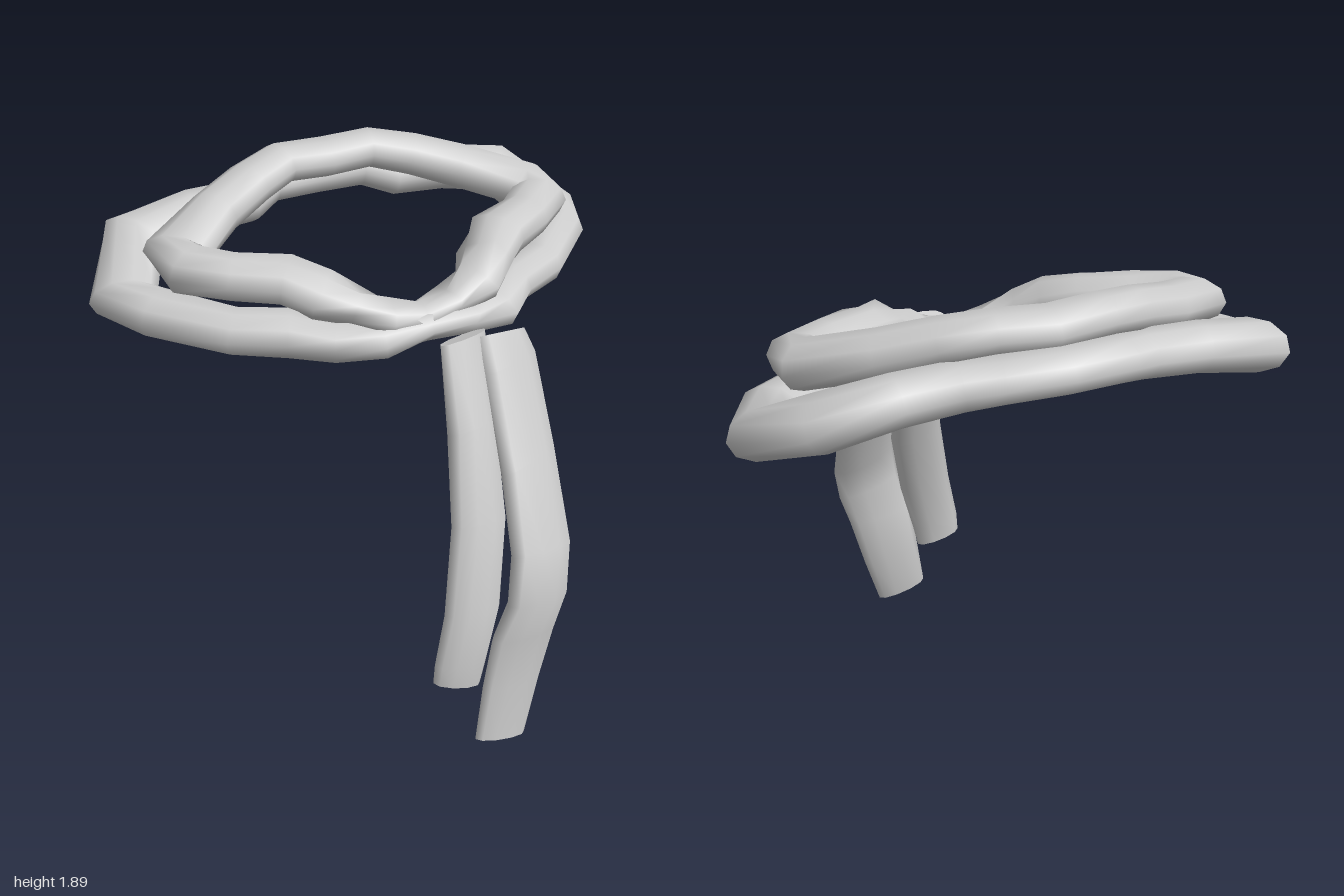
import * as THREE from 'three';

const SIDES = 10;
const V = (p) => new THREE.Vector3(p[0], p[1], p[2]);

// Skin a list of equal rings of points; closed joins the ends, otherwise they are capped
function skin(rings, closed) {
  const pos = [], idx = [], n = rings.length;
  rings.forEach((r) => r.forEach((p) => pos.push(p.x, p.y, p.z)));
  const at = (i, j) => (i % n) * SIDES + (j % SIDES);
  for (let i = 0; i < (closed ? n : n - 1); i++) {
    for (let j = 0; j < SIDES; j++) {
      idx.push(at(i, j), at(i, j + 1), at(i + 1, j), at(i, j + 1), at(i + 1, j + 1), at(i + 1, j));
    }
  }
  if (!closed) {
    [rings[0], rings[n - 1]].forEach((r, end) => {
      const b = pos.length / 3;
      r.forEach((p) => pos.push(p.x, p.y, p.z));
      for (let j = 1; j < SIDES - 1; j++) {
        if (end) idx.push(b, b + j, b + j + 1);
        else idx.push(b, b + j + 1, b + j);
      }
    });
  }
  const g = new THREE.BufferGeometry();
  g.setAttribute('position', new THREE.Float32BufferAttribute(pos, 3));
  g.setIndex(idx);
  g.computeVertexNormals();
  return g;
}

// Closed neck loop from its left half, back to front: x, y, z, half width, half height, crumple
function loopGeometry(half) {
  const mirrored = half.slice(1, -1).reverse().map((s) => [-s[0], ...s.slice(1)]);
  const st = [...half, ...mirrored], n = st.length;
  const rings = st.map((s, i) => {
    const d = V(st[(i + 1) % n]).sub(V(st[(i + n - 1) % n])).normalize();
    const u = new THREE.Vector3(0, 1, 0).cross(d).normalize();
    const v = d.clone().cross(u);
    return Array.from({ length: SIDES }, (_, j) => {
      const a = (j / SIDES) * Math.PI * 2;
      const k = 1 + s[5] * Math.sin(i * 2.3 + j * 4.1);
      return V(s).addScaledVector(u, Math.cos(a) * s[3] * k).addScaledVector(v, Math.sin(a) * s[4] * k);
    });
  });
  return skin(rings, true);
}

// Hanging tail from pairs of edge points and a half thickness
function tailGeometry(st) {
  const mid = st.map((s) => V(s[0]).add(V(s[1])).multiplyScalar(0.5));
  const rings = st.map((s, i) => {
    const d = mid[Math.min(i + 1, st.length - 1)].clone().sub(mid[Math.max(i - 1, 0)]);
    const u = V(s[1]).sub(V(s[0])).multiplyScalar(0.5);
    const v = d.cross(u).normalize();
    return Array.from({ length: SIDES }, (_, j) => {
      const a = (j / SIDES) * Math.PI * 2;
      return mid[i].clone().addScaledVector(u, Math.cos(a)).addScaledVector(v, Math.sin(a) * s[2]);
    });
  });
  return skin(rings, false);
}

export function createModel() {
  const group = new THREE.Group();
  const cloth = new THREE.MeshStandardMaterial({ color: 0xcccccc });
  cloth.name = 'grey cloth';
  const add = (name, geometry) => {
    const m = new THREE.Mesh(geometry, cloth);
    m.name = name;
    group.add(m);
  };

  // Upper wrap round the neck
  add('upperLoop', loopGeometry([
    [0, 1.81, -0.595, 0.105, 0.07, 0],
    [0.18, 1.82, -0.585, 0.1, 0.07, 0],
    [0.33, 1.79, -0.52, 0.1, 0.075, 0],
    [0.5, 1.74, -0.435, 0.1, 0.08, 0],
    [0.7, 1.68, -0.29, 0.12, 0.08, 0],
    [0.69, 1.66, -0.19, 0.11, 0.085, 0],
    [0.57, 1.65, -0.09, 0.1, 0.08, 0],
    [0.41, 1.64, -0.01, 0.11, 0.08, 0.08],
    [0.32, 1.6, 0.08, 0.1, 0.08, 0.2],
    [0.23, 1.56, 0.14, 0.085, 0.065, 0.25],
    [0.12, 1.52, 0.18, 0.07, 0.05, 0.25],
    [0, 1.5, 0.18, 0.075, 0.04, 0.15],
  ]));

  // Lower, wider wrap
  add('lowerLoop', loopGeometry([
    [0, 1.71, -0.705, 0.1, 0.075, 0],
    [0.2, 1.71, -0.695, 0.1, 0.075, 0],
    [0.31, 1.68, -0.63, 0.1, 0.08, 0],
    [0.52, 1.67, -0.63, 0.1, 0.085, 0],
    [0.75, 1.63, -0.61, 0.13, 0.09, 0],
    [0.875, 1.51, -0.38, 0.12, 0.085, 0],
    [0.8, 1.51, -0.22, 0.11, 0.08, 0],
    [0.6, 1.48, -0.03, 0.1, 0.08, 0],
    [0.43, 1.47, 0.05, 0.1, 0.08, 0.08],
    [0.3, 1.45, 0.14, 0.1, 0.075, 0.18],
    [0.16, 1.46, 0.2, 0.08, 0.06, 0.22],
    [0, 1.475, 0.215, 0.07, 0.045, 0.15],
  ]));

  // Long front tail
  add('longTail', tailGeometry([
    [[0.11, 1.48, 0.385], [0.35, 1.41, 0.28], 0.045],
    [[0.11, 1.36, 0.44], [0.37, 1.34, 0.32], 0.055],
    [[0.1, 1.05, 0.6], [0.37, 1.05, 0.47], 0.055],
    [[0.07, 0.8, 0.73], [0.35, 0.74, 0.65], 0.055],
    [[0.035, 0.63, 0.77], [0.315, 0.58, 0.71], 0.05],
    [[-0.005, 0.47, 0.74], [0.27, 0.44, 0.72], 0.045],
    [[-0.035, 0.27, 0.74], [0.21, 0.22, 0.73], 0.04],
    [[-0.07, 0.05, 0.76], [0.14, 0, 0.76], 0.03],
  ]));

  // Short tail tucked behind it
  add('shortTail', tailGeometry([
    [[-0.035, 1.48, 0.385], [0.16, 1.48, 0.34], 0.04],
    [[-0.06, 1.2, 0.5], [0.14, 1.2, 0.45], 0.055],
    [[-0.1, 0.9, 0.6], [0.12, 0.88, 0.59], 0.055],
    [[-0.165, 0.6, 0.68], [0.05, 0.58, 0.69], 0.05],
    [[-0.205, 0.4, 0.69], [-0.01, 0.36, 0.71], 0.04],
    [[-0.21, 0.32, 0.69], [-0.03, 0.27, 0.71], 0.035],
  ]));

  return group;
}
